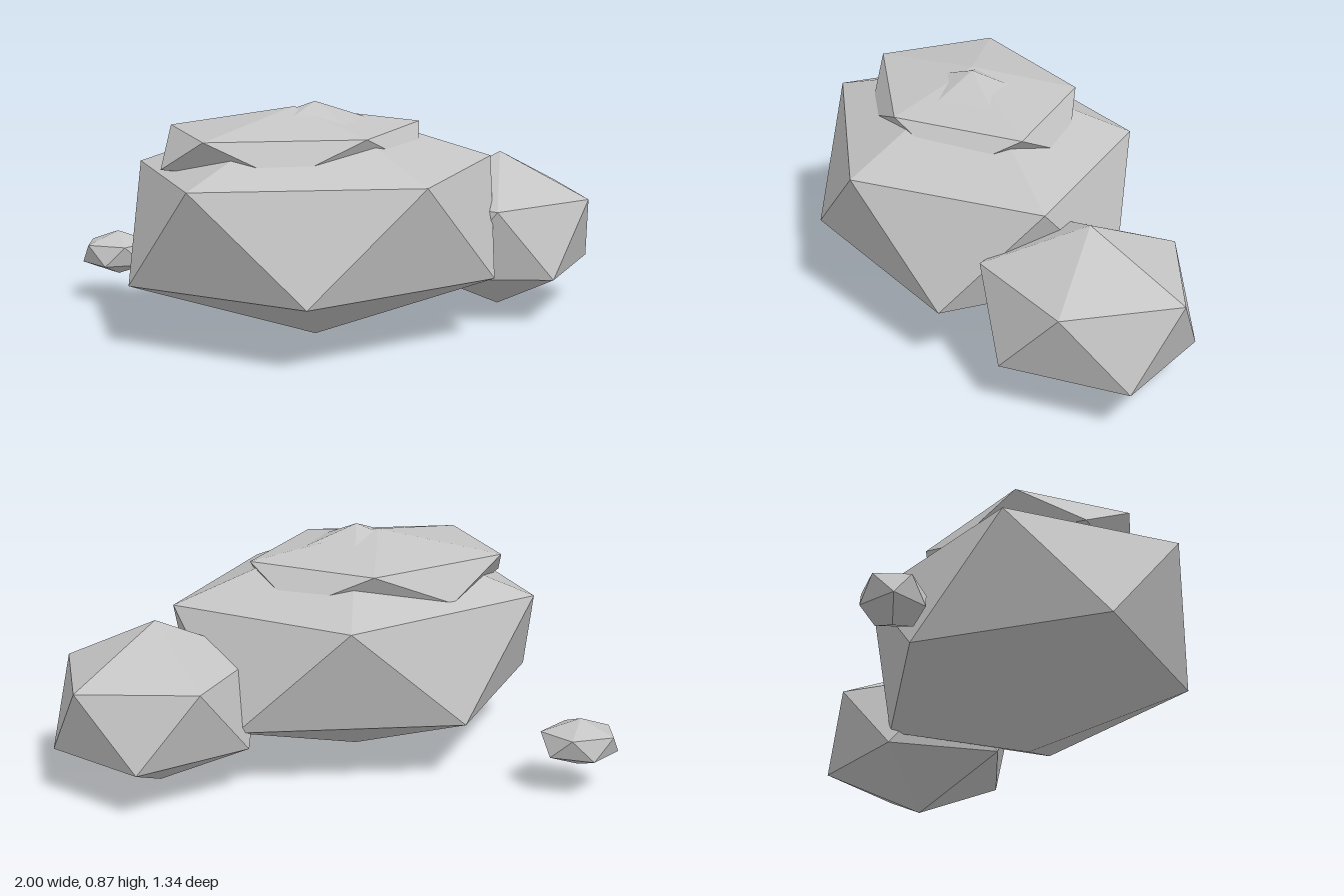
import * as THREE from 'three';

const stone = new THREE.MeshStandardMaterial({ color: 0xc4c4c4, flatShading: true });
stone.name = 'light stone grey';

// Stretched icosahedron: two poles, an upper ring of five corners [x, z]
// (clockwise from above), and a lower ring that mirrors it through the centre.
function rock(name, [cx, cy, cz], halfHeight, corners) {
  const band = halfHeight / Math.sqrt(5);
  const upper = corners.map(([x, z]) => [x, cy + band, z]);
  const lower = corners.map((_, k) => {
    const [x, z] = corners[(k + 3) % 5];
    return [2 * cx - x, cy - band, 2 * cz - z];
  });
  const top = [cx, cy + halfHeight, cz];
  const bottom = [cx, cy - halfHeight, cz];
  const points = [];
  for (let k = 0; k < 5; k++) {
    const n = (k + 1) % 5;
    points.push(
      top, upper[n], upper[k],
      upper[k], upper[n], lower[k],
      lower[k], upper[n], lower[n],
      bottom, lower[k], lower[n]
    );
  }
  const geometry = new THREE.BufferGeometry();
  geometry.setAttribute('position', new THREE.Float32BufferAttribute(points.flat(), 3));
  geometry.computeVertexNormals();
  const mesh = new THREE.Mesh(geometry, stone);
  mesh.name = name;
  return mesh;
}

export function createModel() {
  const group = new THREE.Group();
  group.name = 'rockCluster';
  group.add(
    // large boulder
    rock('mainBoulder', [-0.07, 0.435, 0.092], 0.435,
      [[-0.05, -0.49], [0.59, -0.15], [0.32, 0.52], [-0.495, 0.6], [-0.72, -0.03]]),
    // flat slab sunk into the top of the boulder
    rock('topSlab', [-0.15, 0.71, 0.092], 0.14,
      [[-0.13, -0.29], [0.315, -0.08], [0.115, 0.37], [-0.45, 0.435], [-0.6, 0.02]]),
    // medium rock at the back
    rock('sideRock', [0.64, 0.318, -0.3], 0.303,
      [[0.46, -0.61], [0.89, -0.6], [0.97, -0.18], [0.6, 0.07], [0.28, -0.18]]),
    // small loose stone
    rock('pebble', [-0.86, 0.2, -0.385], 0.087,
      [[-0.72, -0.39], [-0.82, -0.28], [-0.97, -0.325], [-0.97, -0.45], [-0.82, -0.49]])
  );
  return group;
}
